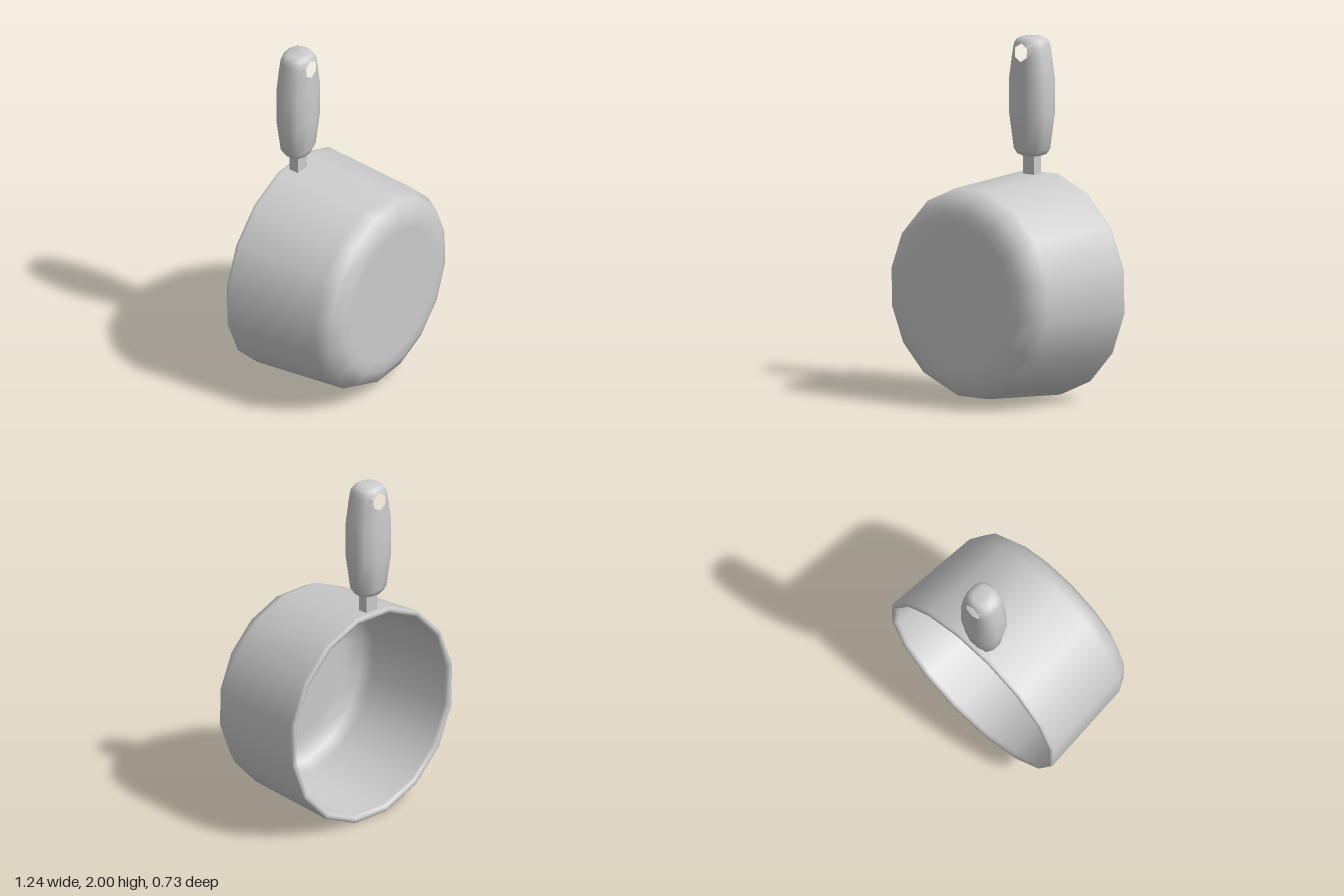
import * as THREE from 'three';
import { toCreasedNormals } from 'three/addons/utils/BufferGeometryUtils.js';

const HANDLE_X = -0.03, HANDLE_Z = -0.265;

// 16-sided pan, turned about the z axis: inner floor, inner wall, rolled rim, outer wall, base
function panGeometry() {
  const profile = [
    [0, 0.33], [0.38, 0.33], [0.45, 0.33], [0.525, 0.295], [0.56, 0.23],
    [0.59, -0.31], [0.596, -0.325], [0.608, -0.332], [0.62, -0.332], [0.629, -0.325], [0.629, -0.31],
    [0.591, 0.25], [0.55, 0.325], [0.47, 0.364], [0.4, 0.364], [0, 0.364],
  ].map(([r, z]) => new THREE.Vector2(r, z));
  const geo = new THREE.LatheGeometry(profile, 16, Math.PI / 16);
  geo.rotateX(Math.PI / 2);
  geo.rotateZ(THREE.MathUtils.degToRad(1));
  return geo.translate(0, 0.62, 0);
}

// Grip lofted from 14-point sections, with a hexagonal hanging hole cut through it
function gripGeometry() {
  // y, half width, half depth
  const rows = [
    [1.335, 0.05, 0.05], [1.345, 0.08, 0.065], [1.375, 0.102, 0.077], [1.57, 0.127, 0.097],
    [1.77, 0.127, 0.097], [1.867, 0.111, 0.092], [1.893, 0.107, 0.091], [1.945, 0.097, 0.087],
    [1.97, 0.09, 0.083], [1.988, 0.078, 0.073], [2.0, 0.055, 0.055],
  ];
  const holeBottom = 5, holeTop = 8, holeHalf = 0.045;
  const section = [
    [0, 1], [0.3, 1], [0.82, 0.76], [1, 0.32], [1, -0.32], [0.82, -0.76], [0.3, -1],
    [0, -1], [-0.3, -1], [-0.82, -0.76], [-1, -0.32], [-1, 0.32], [-0.82, 0.76], [-0.3, 1],
  ];
  const n = section.length;
  const inHole = (r) => r > holeBottom && r < holeTop;
  const pos = [], index = [];
  rows.forEach(([y, w, d], r) => section.forEach(([sx, sz]) => {
    const x = inHole(r) && Math.abs(sx) === 0.3 ? Math.sign(sx) * holeHalf : sx * w;
    pos.push(x, y, sz * d);
  }));
  const at = (r, k) => r * n + (k + n) % n;
  const face = (c) => {
    for (let i = 1; i < c.length - 1; i++) index.push(c[0], c[i], c[i + 1]);
  };

  // Skin: corners that fall inside the hole are dropped
  const removed = (id) => inHole(Math.floor(id / n)) && id % 7 === 0;
  for (let r = 0; r < rows.length - 1; r++) {
    for (let k = 0; k < n; k++) {
      face([at(r, k), at(r, k + 1), at(r + 1, k + 1), at(r + 1, k)].filter((id) => !removed(id)));
    }
  }

  // Hole walls, counter-clockwise around the hexagon; 7 - k is the matching back point
  const hex = [[5, 0], [6, 1], [7, 1], [8, 0], [7, -1], [6, -1]];
  hex.forEach(([r, k], i) => {
    const [r2, k2] = hex[(i + 1) % 6];
    face([at(r, k), at(r, 7 - k), at(r2, 7 - k2), at(r2, k2)]);
  });

  // End caps
  const ring = section.map((_, k) => k);
  face([...ring].reverse());
  face(ring.map((k) => at(rows.length - 1, k)));

  const geo = new THREE.BufferGeometry();
  geo.setAttribute('position', new THREE.Float32BufferAttribute(pos, 3));
  geo.setIndex(index);
  return toCreasedNormals(geo, Math.PI / 3);
}

export function createModel() {
  const model = new THREE.Group();
  model.name = 'saucepan';
  const material = new THREE.MeshStandardMaterial({ color: 0xcccccc });
  const add = (name, geometry) => {
    const mesh = new THREE.Mesh(geometry, material);
    mesh.name = name;
    model.add(mesh);
    return mesh;
  };

  add('pan', panGeometry());
  add('handleGrip', gripGeometry()).position.set(HANDLE_X, 0, HANDLE_Z);
  // Short neck between the pan wall and the grip
  add('handleNeck', new THREE.BoxGeometry(0.085, 0.145, 0.058)).position.set(HANDLE_X, 1.2875, HANDLE_Z);
  return model;
}
